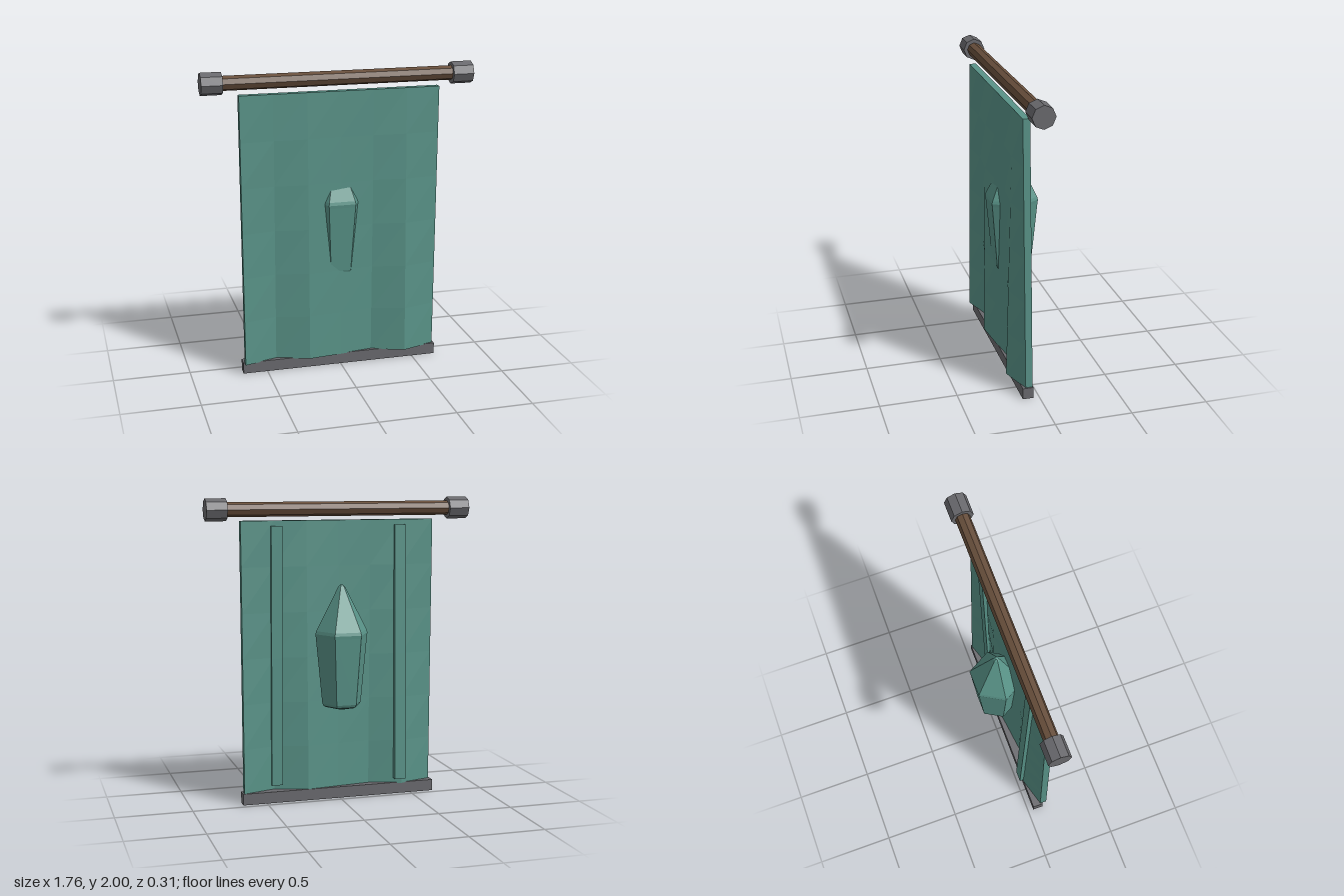
import * as THREE from 'three';

const CLOTH_TOP = 1.855, CLOTH_BOTTOM = 0.07, CLOTH_THICK = 0.045, TOP_Z = 0.113;
// front z of the hem at seven evenly spaced columns
const HEM_Z = [0.138, 0.075, 0.139, 0.114, 0.085, 0.157, 0.087];

// front surface of the cloth: flat at the top, folds deepen towards the hem
function clothZ(x, y) {
  const u = THREE.MathUtils.clamp((x + 0.65) / 1.3, 0, 1) * 6;
  const i = Math.min(5, Math.floor(u));
  const hem = THREE.MathUtils.lerp(HEM_Z[i], HEM_Z[i + 1], u - i);
  const t = THREE.MathUtils.clamp((CLOTH_TOP - y) / (CLOTH_TOP - CLOTH_BOTTOM), 0, 1);
  return THREE.MathUtils.lerp(TOP_Z, hem, t);
}

// shift each vertex in z by a rule
function bend(geometry, rule) {
  const p = geometry.attributes.position;
  for (let i = 0; i < p.count; i++) p.setZ(i, p.getZ(i) + rule(p.getX(i), p.getY(i)));
  geometry.computeVertexNormals();
  return geometry;
}

export function createModel() {
  const group = new THREE.Group();
  const material = (name, color) => {
    const m = new THREE.MeshStandardMaterial({ color, flatShading: true });
    m.name = name;
    return m;
  };
  const teal = material('teal cloth', 0x599388);
  const grey = material('dark metal', 0x69696d);
  const brown = material('brown wood', 0x674e3b);

  const add = (name, geometry, mat, x = 0, y = 0, z = 0) => {
    const mesh = new THREE.Mesh(geometry, mat);
    mesh.name = name;
    mesh.position.set(x, y, z);
    group.add(mesh);
    return mesh;
  };

  // rod with an octagonal cap on each end
  const rodY = 1.928, rodZ = 0.055;
  add('rod', new THREE.CylinderGeometry(0.047, 0.047, 1.52, 8).rotateZ(Math.PI / 2), brown, 0, rodY, rodZ);
  for (const side of [-1, 1]) {
    add(side > 0 ? 'leftCap' : 'rightCap',
      new THREE.CylinderGeometry(0.072, 0.072, 0.134, 8).rotateZ(Math.PI / 2), grey, side * 0.813, rodY, rodZ);
  }

  // hanging cloth
  const height = CLOTH_TOP - CLOTH_BOTTOM;
  const cloth = new THREE.BoxGeometry(1.3, height, CLOTH_THICK, 6, 6, 1)
    .translate(0, (CLOTH_TOP + CLOTH_BOTTOM) / 2, -CLOTH_THICK / 2);
  add('cloth', bend(cloth, clothZ), teal);

  // raised strips down the back
  for (const side of [-1, 1]) {
    const strip = new THREE.BoxGeometry(0.075, 1.715, 0.04, 1, 6, 1)
      .translate(side * 0.418, 0.963, -CLOTH_THICK - 0.005);
    add(side > 0 ? 'leftBackStrip' : 'rightBackStrip', bend(strip, (x, y) => clothZ(side * 0.418, y)), teal);
  }

  // six-sided gem set through the cloth, with softened rims
  const profile = [[0, 0.61], [0.105, 0.634], [0.122, 0.642], [0.132, 0.66], [0.175, 1.1],
    [0.178, 1.12], [0.172, 1.14], [0.022, 1.427], [0.01, 1.438], [0, 1.44]]
    .map(([r, y]) => new THREE.Vector2(r, y));
  add('gem', new THREE.LatheGeometry(profile, 6, Math.PI / 6), teal);

  // weight bar along the hem
  add('hemBar', new THREE.BoxGeometry(1.32, 0.075, 0.07), grey, 0, 0.0375, 0.073);

  return group;
}
